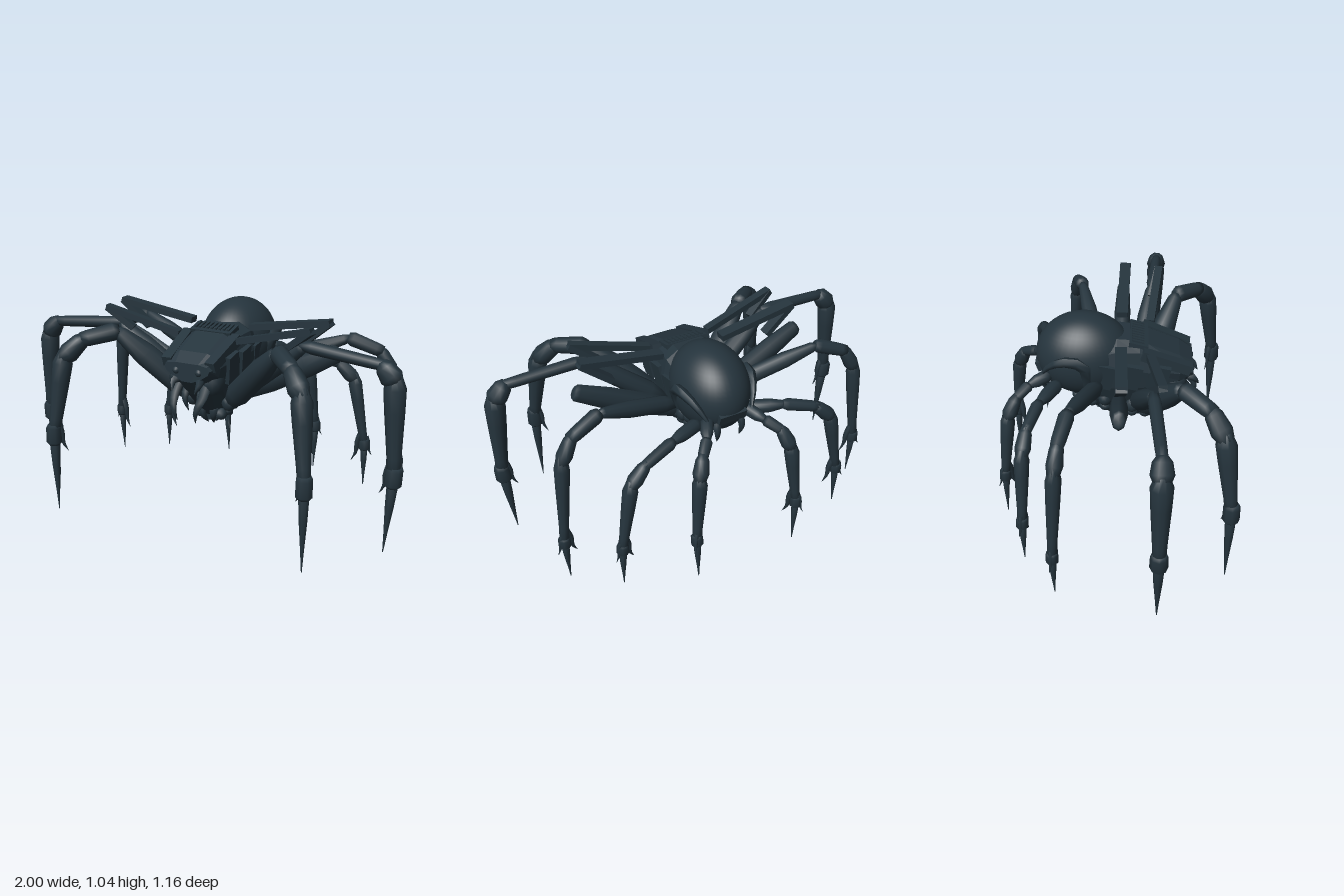
import * as THREE from 'three';

const shell = new THREE.MeshStandardMaterial({ color: 0x25343d });
shell.name = 'dark blue shell';
const V = (p) => new THREE.Vector3(...p);
const UP = new THREE.Vector3(0, 1, 0);

function add(parent, name, geometry, pos = [0, 0, 0], rot = [0, 0, 0], scale = [1, 1, 1]) {
  const m = new THREE.Mesh(geometry, shell);
  m.name = name;
  m.position.set(...pos);
  m.rotation.set(...rot);
  m.scale.set(...scale);
  parent.add(m);
  return m;
}

// Turned piece from a to b; profile holds [fraction along, radius]
function limb(parent, name, a, b, profile, sides = 10) {
  const d = V(b).sub(V(a)), len = d.length();
  const pts = profile.map(([t, r]) => new THREE.Vector2(r, t * len));
  pts.unshift(new THREE.Vector2(0, profile[0][0] * len));
  pts.push(new THREE.Vector2(0, profile[profile.length - 1][0] * len));
  const m = add(parent, name, new THREE.LatheGeometry(pts, sides), a);
  m.quaternion.setFromUnitVectors(UP, d.normalize());
  return m;
}

// Rectangular bar from a to b
function bar(parent, name, a, b, w, h) {
  const from = V(a), to = V(b);
  const m = add(parent, name, new THREE.BoxGeometry(w, h, from.distanceTo(to)));
  m.position.lerpVectors(from, to, 0.5);
  m.quaternion.setFromRotationMatrix(new THREE.Matrix4().lookAt(to, from, UP));
  return m;
}

// Curved tapering hook through three or more points
function hook(parent, name, points, r) {
  const curve = new THREE.CatmullRomCurve3(points.map(V));
  const g = new THREE.TubeGeometry(curve, 8, r, 6);
  const p = g.attributes.position, v = new THREE.Vector3();
  for (let i = 0; i < p.count; i++) {
    const t = Math.floor(i / 7) / 8, c = curve.getPointAt(t);
    v.fromBufferAttribute(p, i).sub(c).multiplyScalar(1 - 0.95 * t * t).add(c);
    p.setXYZ(i, v.x, v.y, v.z);
  }
  g.computeVertexNormals();
  return add(parent, name, g);
}

// Faceted hull through sections [z, half width, top, bottom], front to back
function hull(sections) {
  const half = [[0.22, 0], [0.6, 0.22], [0.92, 0.5], [1, 0.72], [0.88, 0.92], [0.5, 1]];
  const ring = [...half, ...half.map(([x, y]) => [-x, y]).reverse()];
  const n = ring.length, pos = [], idx = [];
  for (const [z, w, top, bot] of sections)
    for (const [x, y] of ring) pos.push(x * w, bot + (top - bot) * y, z);
  const last = (sections.length - 1) * n;
  for (let j = 0; j < n; j++) {
    const k = (j + 1) % n;
    for (let i = 0; i < last; i += n)
      idx.push(i + j, i + n + j, i + k, i + k, i + n + j, i + n + k);
    if (j > 0 && k > 0) idx.push(0, j, k, last, last + k, last + j);
  }
  let g = new THREE.BufferGeometry();
  g.setAttribute('position', new THREE.Float32BufferAttribute(pos, 3));
  g.setIndex(idx);
  g = g.toNonIndexed();
  g.computeVertexNormals();
  return g;
}

// Spur at an ankle, pointing along the horizontal direction (dx, dz)
function spur(parent, [x, y, z], dx, dz, size) {
  const at = (s, h) => [x + dx * s * size, y + h * size, z + dz * s * size];
  hook(parent, 'spur', [at(0.15, 0.7), at(0.35, 0.1), at(0.42, -0.5), at(0.65, -0.95)], size * 0.17);
}

// Walking leg: hip, thigh end, knee, shin top, ankle, tip
function leg(parent, name, [hip, mid, knee, top, ankle, tip], thigh, fore, shin, outerSpur) {
  const g = new THREE.Group();
  g.name = name;
  parent.add(g);
  limb(g, 'thigh', hip, mid, [[0, thigh * 0.6], [0.2, thigh], [0.65, thigh * 0.95], [0.95, thigh * 0.6], [1, thigh * 0.4]]);
  limb(g, 'foreThigh', mid, knee, [[-0.05, fore * 0.7], [0.1, fore], [0.85, fore * 0.9], [1.05, fore * 0.8]]);
  limb(g, 'kneeJoint', knee, top, [[-0.2, shin * 0.5], [0.1, shin * 0.95], [0.7, shin * 1.15], [1.1, shin * 0.8]]);
  limb(g, 'shin', top, ankle, [[-0.1, shin * 0.6], [0.06, shin * 1.1], [0.3, shin], [0.8, shin * 0.72], [1, shin * 0.7]]);
  limb(g, 'ankleCuff', ankle, tip, [[-0.12, shin * 0.7], [-0.08, shin * 0.88], [0.1, shin * 0.92], [0.14, shin * 0.6]], 8);
  limb(g, 'claw', ankle, tip, [[0.08, shin * 0.6], [0.4, shin * 0.45], [0.75, shin * 0.2], [1, 0.002]], 8);
  const dir = new THREE.Vector2(ankle[0] - hip[0], ankle[2] - hip[2]).normalize();
  spur(g, ankle, -dir.x, -dir.y, 0.1);
  if (outerSpur) spur(g, ankle, dir.x, dir.y, 0.065);
}

function buildSide(side) {
  leg(side, 'frontLeg', [[0.1, 0.58, 0.12], [0.43, 0.91, 0.3], [0.55, 0.88, 0.42], [0.625, 0.79, 0.48],
    [0.67, 0.41, 0.53], [0.67, 0, 0.53]], 0.062, 0.044, 0.044, false);
  leg(side, 'secondLeg', [[0.12, 0.62, 0.1], [0.5, 0.92, 0.17], [0.88, 0.89, 0.2], [0.935, 0.82, 0.2],
    [0.957, 0.39, 0.2], [0.93, 0.01, 0.2]], 0.05, 0.03, 0.045, false);
  leg(side, 'fourthLeg', [[0.14, 0.72, -0.09], [0.58, 0.885, -0.2], [0.73, 0.83, -0.235], [0.79, 0.72, -0.25],
    [0.83, 0.27, -0.272], [0.82, 0.03, -0.27]], 0.042, 0.036, 0.033, true);
  leg(side, 'fifthLeg', [[0.12, 0.72, -0.28], [0.3, 0.73, -0.36], [0.46, 0.69, -0.405], [0.54, 0.61, -0.42],
    [0.605, 0.26, -0.432], [0.61, 0.03, -0.433]], 0.035, 0.03, 0.033, true);
  leg(side, 'rearLeg', [[0.1, 0.76, -0.32], [0.155, 0.73, -0.42], [0.21, 0.69, -0.48], [0.245, 0.6, -0.52],
    [0.277, 0.27, -0.552], [0.27, 0.02, -0.558]], 0.032, 0.028, 0.033, true);

  // Folded middle limb and the struts above the thighs
  limb(side, 'middleThigh', [0.1, 0.6, 0.01], [0.61, 0.87, 0.02],
    [[0, 0.045], [0.3, 0.06], [0.7, 0.058], [0.97, 0.045], [1, 0.032]], 8).scale.z = 0.72;
  bar(side, 'middleStrut', [0.16, 0.94, 0.02], [0.57, 1.005, 0.03], 0.055, 0.03);
  bar(side, 'middleLink', [0.57, 1.005, 0.03], [0.42, 0.88, 0.02], 0.05, 0.03);
  bar(side, 'secondStrut', [0.16, 0.9, 0.16], [0.55, 1.0, 0.205], 0.04, 0.03);
  bar(side, 'secondLink', [0.55, 1.0, 0.205], [0.42, 0.9, 0.17], 0.04, 0.03);

  // Hip sockets and bony lumps along the underside
  for (let i = 0; i < 6; i++) {
    const z = 0.14 - i * 0.066, lift = 0.004 * i * i;
    add(side, 'hipLump', new THREE.IcosahedronGeometry(0.04, 1), [0.1 - i * 0.004, 0.58 + lift, z], [0, i, 0], [0.9, 1.1, 0.9]);
    add(side, 'bellyLump', new THREE.IcosahedronGeometry(0.033, 1), [0.055, 0.515 + lift, z], [0, i, 0], [1, 0.95, 1]);
  }
  // Sloping flank plates
  for (let i = 0; i < 3; i++)
    add(side, 'flankPlate', new THREE.BoxGeometry(0.03, 0.14, 0.09), [0.145, 0.78, 0.2 - i * 0.13], [0.2, 0, -0.15]);
  // Brow ridge, cheek and eye
  bar(side, 'browRidge', [0.13, 0.9, 0.12], [0.115, 0.81, 0.35], 0.05, 0.05);
  add(side, 'cheek', new THREE.IcosahedronGeometry(0.07, 1), [0.085, 0.72, 0.27], [0, 0, 0], [0.8, 1, 1]);
  add(side, 'eye', new THREE.SphereGeometry(0.02, 10, 8), [0.06, 0.78, 0.355]);
  // Mandibles and mouth hooks
  hook(side, 'mandible', [[0.07, 0.72, 0.3], [0.075, 0.66, 0.35], [0.06, 0.6, 0.39], [0.05, 0.54, 0.375]], 0.028);
  hook(side, 'innerFang', [[0.04, 0.7, 0.28], [0.04, 0.64, 0.32], [0.025, 0.57, 0.31]], 0.022);
  hook(side, 'browHorn', [[0.05, 0.74, 0.33], [0.07, 0.73, 0.37], [0.06, 0.69, 0.4]], 0.022);
  hook(side, 'chinSpike', [[0.03, 0.58, 0.15], [0.03, 0.52, 0.17], [0.015, 0.46, 0.135]], 0.025);
  // Curved rib around the abdomen and rear hook
  hook(side, 'abdomenRib', [[0.14, 0.74, -0.14], [0.18, 0.86, -0.16], [0.18, 0.88, -0.23], [0.15, 0.84, -0.31], [0.1, 0.74, -0.38]], 0.032);
  hook(side, 'rearHook', [[0.06, 0.76, -0.33], [0.065, 0.7, -0.36], [0.06, 0.63, -0.345]], 0.022);
}

export function createModel() {
  const model = new THREE.Group();
  model.name = 'spider';

  // Body: wedge head and keeled thorax, with the smooth domed abdomen above
  add(model, 'thorax', hull([[0.365, 0.12, 0.82, 0.73], [0.3, 0.145, 0.86, 0.65], [0.15, 0.15, 0.92, 0.51],
    [0.11, 0.15, 0.94, 0.48], [0, 0.163, 0.95, 0.472], [-0.14, 0.15, 0.9, 0.545],
    [-0.26, 0.12, 0.86, 0.65], [-0.36, 0.07, 0.82, 0.72]]));
  add(model, 'abdomen', new THREE.SphereGeometry(1, 40, 28), [0, 0.825, -0.16], [0, 0, 0], [0.18, 0.211, 0.235]);
  add(model, 'tailPlate', new THREE.BoxGeometry(0.14, 0.05, 0.06), [0, 0.785, -0.36], [-0.3, 0, 0]);

  // Ribbed neck grille
  add(model, 'neckSlab', new THREE.BoxGeometry(0.22, 0.04, 0.09), [0, 0.918, 0.1], [0.25, 0, 0]);
  for (let i = -4; i <= 4; i++)
    add(model, 'neckRib', new THREE.BoxGeometry(0.012, 0.014, 0.06), [i * 0.022, 0.94, 0.1], [0.25, 0, 0]);

  // Keel plates under the belly
  for (let i = 0; i < 5; i++)
    add(model, 'keelPlate', new THREE.BoxGeometry(0.06, 0.05, 0.055), [0, 0.5 + 0.004 * i * i, 0.11 - i * 0.06], [0.15, 0, 0]);

  for (const [name, sign] of [['leftSide', 1], ['rightSide', -1]]) {
    const side = new THREE.Group();
    side.name = name;
    side.scale.x = sign;
    buildSide(side);
    model.add(side);
  }
  return model;
}
